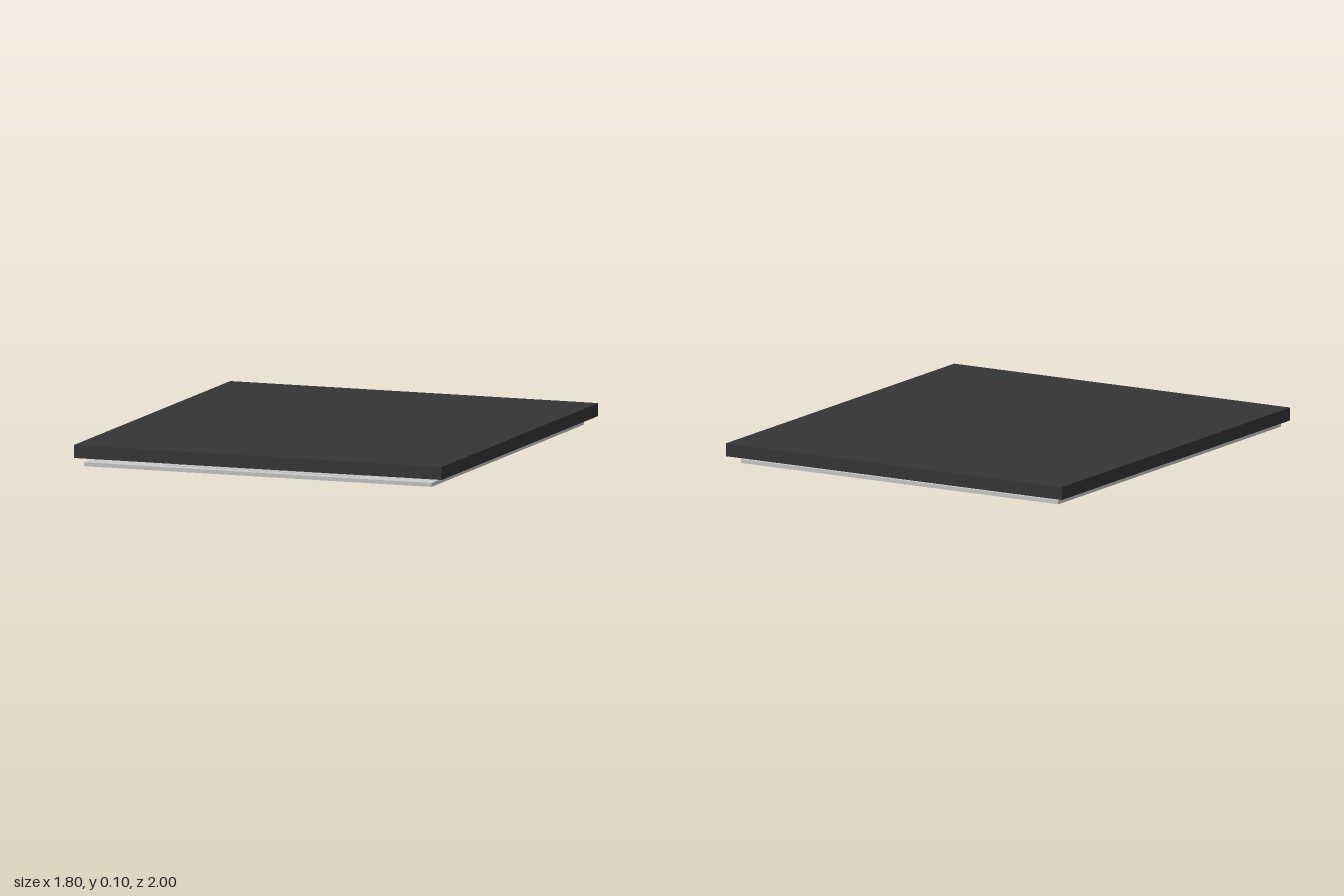
import * as THREE from 'three';

const grey = new THREE.MeshStandardMaterial({ color: 0xcccccc });
const dark = new THREE.MeshStandardMaterial({ color: 0x353537 });
const MID_Z = 0.025; // the tray sits slightly forward of the slab

// Flat outline in x and z, as vectors
const rect = (hx, hz) => [[-hx, -hz], [hx, -hz], [hx, hz], [-hx, hz]].map(([x, z]) => new THREE.Vector2(x, z));

// Outline raised from y0 to y1, with an optional opening; shape y becomes -z
function layer(name, outline, opening, y0, y1) {
  const shape = new THREE.Shape(outline);
  if (opening) shape.holes.push(new THREE.Path(opening));
  const geometry = new THREE.ExtrudeGeometry(shape, { depth: y1 - y0, bevelEnabled: false });
  geometry.rotateX(-Math.PI / 2);
  const mesh = new THREE.Mesh(geometry, grey);
  mesh.name = name;
  mesh.position.y = y0;
  return mesh;
}

export function createModel() {
  const model = new THREE.Group();
  model.name = 'slabOnTray';

  // Thick dark top slab
  const slab = new THREE.Mesh(new THREE.BoxGeometry(1.8, 0.06, 2), dark);
  slab.name = 'topSlab';
  slab.position.y = 0.075;
  model.add(slab);

  // Tray: flat plate, lip around the opening, recessed panel
  const tray = new THREE.Group();
  tray.name = 'tray';
  tray.position.z = MID_Z;
  model.add(tray);
  tray.add(layer('basePlate', rect(0.85, 0.975), rect(0.46, 0.91), 0.01, 0.028));
  tray.add(layer('openingLip', rect(0.475, 0.925), rect(0.45, 0.9), 0.003, 0.03));
  tray.add(layer('recessedPanel', rect(0.45, 0.9), null, 0.022, 0.034));

  // Paired ribs: a straight pair lengthways, and two bowed pairs across
  for (const offset of [-0.018, 0.018]) {
    const straight = new THREE.Mesh(new THREE.BoxGeometry(0.018, 0.01, 1.8), grey);
    straight.name = 'straightRib';
    straight.position.set(offset, 0.018, 0);
    tray.add(straight);

    for (const side of [-1, 1]) {
      const edge = (shift) => Array.from({ length: 25 }, (_, i) => {
        const t = i / 12 - 1;
        return new THREE.Vector2(t * 0.45, side * (0.31 + offset + shift + 0.1 * t * t));
      });
      const outline = [...edge(-0.009), ...edge(0.009).reverse()];
      tray.add(layer('bowedRib', outline, null, 0.0125, 0.024));
    }
  }

  // Six round foot pads with a dimpled centre
  const profile = [[0, 0.009], [0.024, 0.009], [0.03, 0], [0.041, 0], [0.05, 0.011]]
    .map(([r, y]) => new THREE.Vector2(r, y));
  const padGeometry = new THREE.LatheGeometry(profile, 32).toNonIndexed();
  padGeometry.computeVertexNormals();
  const padMaterial = grey.clone();
  padMaterial.side = THREE.DoubleSide;
  for (const x of [-0.66, 0.66]) {
    for (const z of [-0.67, 0, 0.67]) {
      const pad = new THREE.Mesh(padGeometry, padMaterial);
      pad.name = 'footPad';
      pad.position.set(x, 0, z);
      tray.add(pad);
    }
  }
  return model;
}
